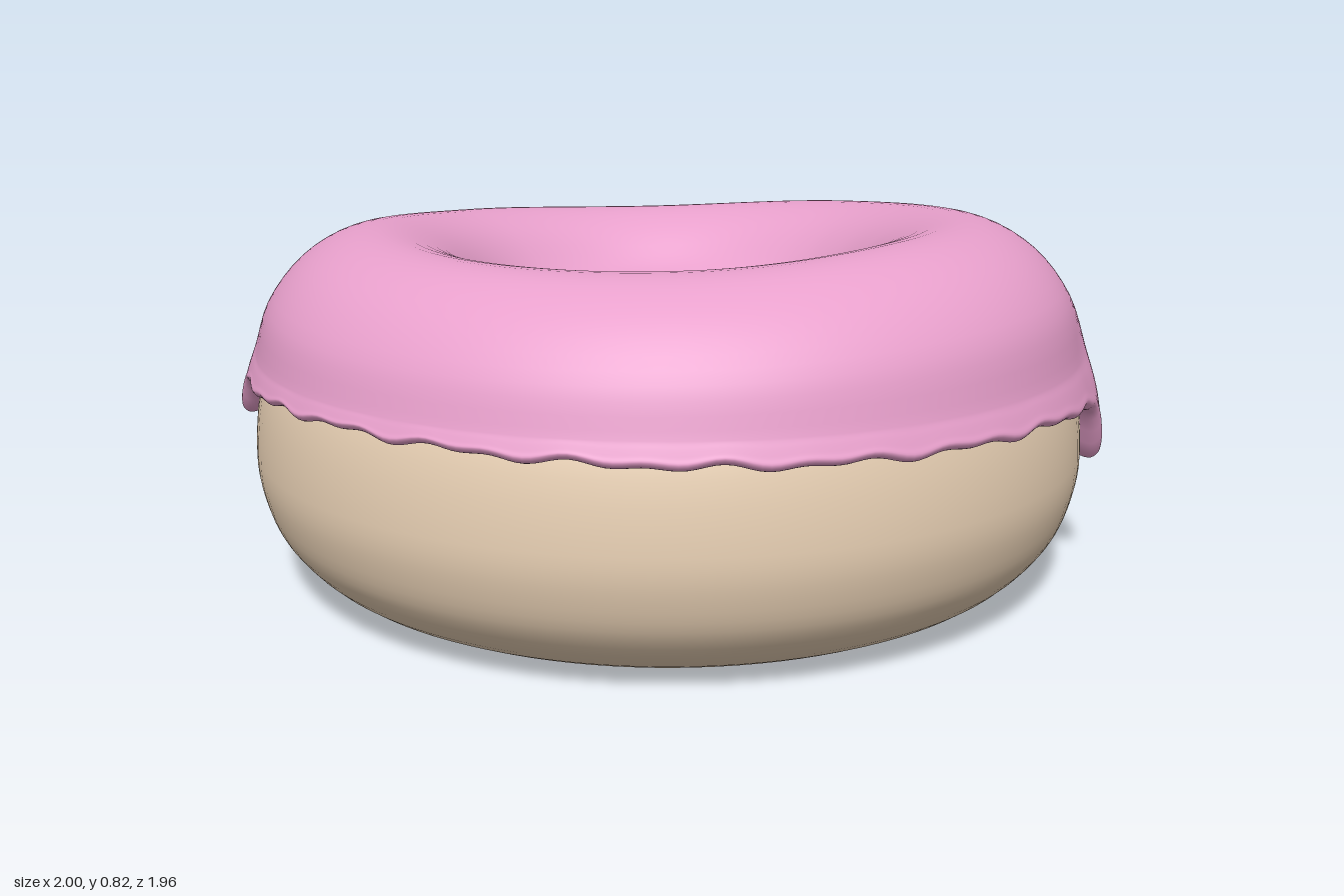
import * as THREE from 'three';

const RAD = Math.PI / 180;

// Smooth periodic value from eight samples around the ring (t = 0 front, 90 = +x)
function around(samples, t) {
  const n = samples.length;
  const f = (t / 360) * n;
  const i = Math.floor(f), u = f - i;
  const s = k => samples[(i + k + n) % n];
  return s(0) + 0.5 * u * (s(1) - s(-1)
    + u * (2 * s(-1) - 5 * s(0) + 4 * s(1) - s(2)
    + u * (3 * (s(0) - s(1)) + s(2) - s(-1))));
}

// Soft bump centred on an angle
function bump(t, centre, width) {
  const d = ((t - centre + 540) % 360) - 180;
  return Math.exp(-Math.pow(Math.abs(d / width), 2.6));
}

// Sweep a closed [radius, height] section, which may vary with the angle
function sweepRing(section, steps, samples) {
  const pos = [], index = [];
  for (let i = 0; i < steps; i++) {
    const t = (i / steps) * 360;
    const curve = new THREE.CatmullRomCurve3(
      section(t).map(([r, y]) => new THREE.Vector3(r, y, 0)), true, 'centripetal');
    for (let j = 0; j < samples; j++) {
      const p = curve.getPoint(j / samples);
      pos.push(p.x * Math.sin(t * RAD), p.y, p.x * Math.cos(t * RAD));
      const i2 = (i + 1) % steps, j2 = (j + 1) % samples;
      const a = i * samples + j, b = i2 * samples + j;
      const c = i2 * samples + j2, d = i * samples + j2;
      index.push(a, b, c, a, c, d);
    }
  }
  const geo = new THREE.BufferGeometry();
  geo.setAttribute('position', new THREE.Float32BufferAttribute(pos, 3));
  geo.setIndex(index);
  geo.computeVertexNormals();
  return geo;
}

const topHeight = t => around([0.79, 0.815, 0.815, 0.785, 0.75, 0.77, 0.8, 0.787], t);
const edgeHeight = t => around([0.49, 0.47, 0.44, 0.475, 0.48, 0.5, 0.475, 0.5], t);
const doughWall = y => 0.965 - 0.9 * Math.max(0, y - 0.32) ** 2;

// Dough: a fat ring with a flattened underside
function doughSection(t) {
  const top = topHeight(t) - 0.045;
  const hole = 0.01 * Math.cos(t * RAD);
  return [
    [0.965, 0.31], [doughWall(0.5), 0.5], [0.86, top - 0.12], [0.75, top - 0.025],
    [0.64, top], [0.52, top - 0.04], [0.42, top - 0.13], [0.368 + hole, 0.5],
    [0.347 + hole, 0.36], [0.375 + hole, 0.2], [0.45, 0.08], [0.57, 0.015],
    [0.7, 0], [0.83, 0.04], [0.92, 0.13], [0.955, 0.22],
  ];
}

// Icing: a shell over the top, with drips on the outer edge: [angle, width, drop]
const drips = [[77, 4.5, 0.14], [193, 10, 0.07], [239, 4.5, 0.2], [271, 4, 0.1]];
const skirts = [[78, 16, 0.02], [241, 12, 0.04]];
const innerDrips = [[88, 4, 0.07], [104, 6, 0.05], [122, 4, 0.04], [305, 6, 0.06]];

function icingSection(t) {
  const h = topHeight(t);
  const a = t * RAD;
  const ripple = 0.004 * (Math.sin(41 * a) + Math.sin(23 * a + 1));
  let edge = edgeHeight(t) + ripple, swell = 0;
  for (const [c, w, drop] of [...drips, ...skirts]) {
    edge -= drop * bump(t, c, w);
    swell += 0.1 * drop * bump(t, c, w * 1.5);
  }
  let innerEdge = 0.49 - ripple, innerSwell = 0;
  for (const [c, w, drop] of innerDrips) {
    innerEdge -= drop * bump(t, c, w);
    innerSwell += 0.35 * drop * bump(t, c, w);
  }
  const thin = 0.025 * bump(t, 219, 14);
  const thick = 0.032 + swell - thin;
  const hole = 0.01 * Math.cos(a) - innerSwell;
  const wall = k => {
    const y = edge + (0.53 - edge) * k;
    return [doughWall(y) + thick * (1 - 0.1 * k), y];
  };
  return [
    wall(0.03), wall(0.3), wall(0.65), wall(1),
    [0.925 - thin, h - 0.165], [0.85 - thin * 0.6, h - 0.07], [0.75, h - 0.012], [0.65, h],
    [0.53, h - 0.04], [0.43, h - 0.12], [0.365 + hole * 0.5, 0.595],
    [0.342 + hole, innerEdge + 0.04], [0.336 + hole, innerEdge],
    // rolled inner lip, hidden underside, rolled outer lip
    [0.35 + hole, innerEdge - 0.012], [0.4, innerEdge + 0.03], [0.48, 0.6],
    [0.64, h - 0.1], [0.8, 0.6], [0.89, edge + 0.04],
    [doughWall(edge) - 0.005, edge - 0.004], [doughWall(edge) + thick * 0.6, edge - 0.012],
  ];
}

export function createModel() {
  const group = new THREE.Group();
  group.name = 'doughnut';
  const add = (name, geometry, color) => {
    const mesh = new THREE.Mesh(geometry, new THREE.MeshStandardMaterial({ color }));
    mesh.name = name;
    group.add(mesh);
  };
  add('dough', sweepRing(doughSection, 120, 64), 0xe8d0b4);
  add('icing', sweepRing(icingSection, 360, 84), 0xe8a0cc);
  return group;
}
